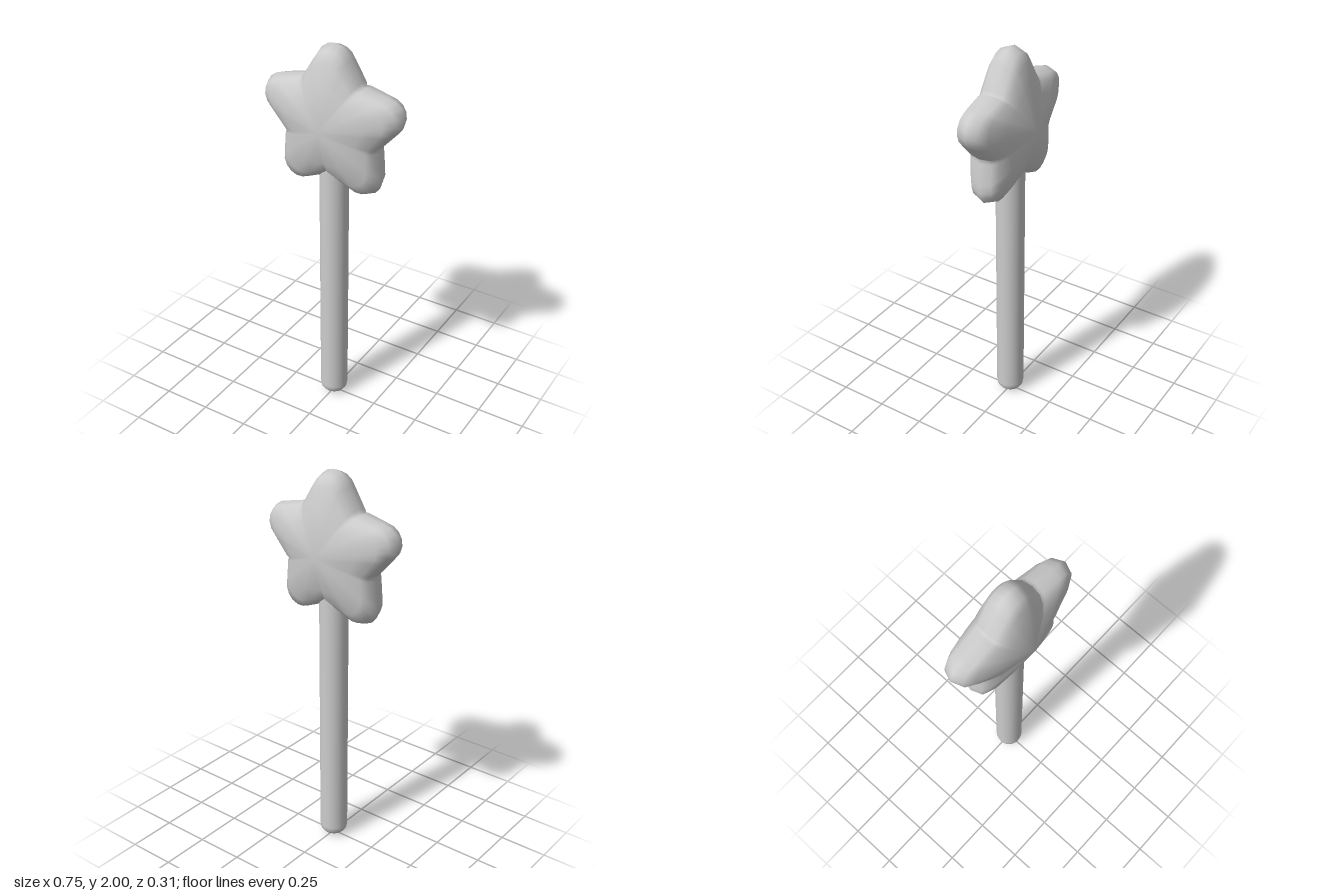
import * as THREE from 'three';

const STAR_Y = 1.61;

// Star outline: one rounded arm (along, across), mirrored and repeated five times
function starOutline() {
  const half = [[0.39, 0], [0.382, 0.036], [0.36, 0.066], [0.325, 0.088], [0.225, 0.146]];
  const arm = [...half.slice(1).reverse().map(([u, v]) => [u, -v]), ...half, [0.206, 0.15]];
  const points = [];
  for (let k = 0; k < 5; k++) {
    const turn = Math.PI / 2 + k * Math.PI * 2 / 5;
    for (const [u, v] of arm) {
      points.push({ r: Math.hypot(u, v), a: turn + Math.atan2(v, u) });
    }
  }
  return points;
}

// Puffed star: shrinking outlines stacked in z, closed by a peak on each face
function starGeometry() {
  const outline = starOutline();
  const n = outline.length;
  const levels = [[0.538, 0.107], [0.807, 0.08], [0.943, 0.053], [1, 0],
    [0.943, -0.053], [0.807, -0.08], [0.538, -0.107]];
  const pos = [];
  const index = [];
  for (const [s, z] of levels) {
    for (const { r, a } of outline) {
      // the valleys stay fuller than the tips
      const q = s + (1 - s) * 0.3 * (0.39 - r) / 0.135;
      pos.push(r * q * Math.cos(a), r * q * Math.sin(a), z);
    }
  }
  const front = levels.length * n;
  const back = front + 1;
  pos.push(0, 0, 0.155, 0, 0, -0.155);
  const last = (levels.length - 1) * n;
  for (let i = 0; i < n; i++) {
    const j = (i + 1) % n;
    index.push(front, i, j, back, last + j, last + i);
    for (let l = 0; l < levels.length - 1; l++) {
      const a = l * n + i, b = l * n + j;
      index.push(a, a + n, b, b, a + n, b + n);
    }
  }
  const geo = new THREE.BufferGeometry();
  geo.setAttribute('position', new THREE.Float32BufferAttribute(pos, 3));
  geo.setIndex(index);
  geo.computeVertexNormals();
  return geo;
}

export function createModel() {
  const group = new THREE.Group();
  const grey = new THREE.MeshStandardMaterial({ color: 0xcccccc });
  grey.name = 'light grey';

  const star = new THREE.Mesh(starGeometry(), grey);
  star.name = 'star';
  star.position.y = STAR_Y;

  // Handle with a rounded foot, its top buried in the star
  const profile = [[0, 0], [0.03, 0.006], [0.055, 0.018], [0.068, 0.035], [0.072, 0.06],
    [0.072, 1.4], [0.06, 1.44], [0, 1.46]].map(([x, y]) => new THREE.Vector2(x, y));
  const handle = new THREE.Mesh(new THREE.LatheGeometry(profile, 24), grey);
  handle.name = 'handle';

  group.add(star, handle);
  return group;
}
